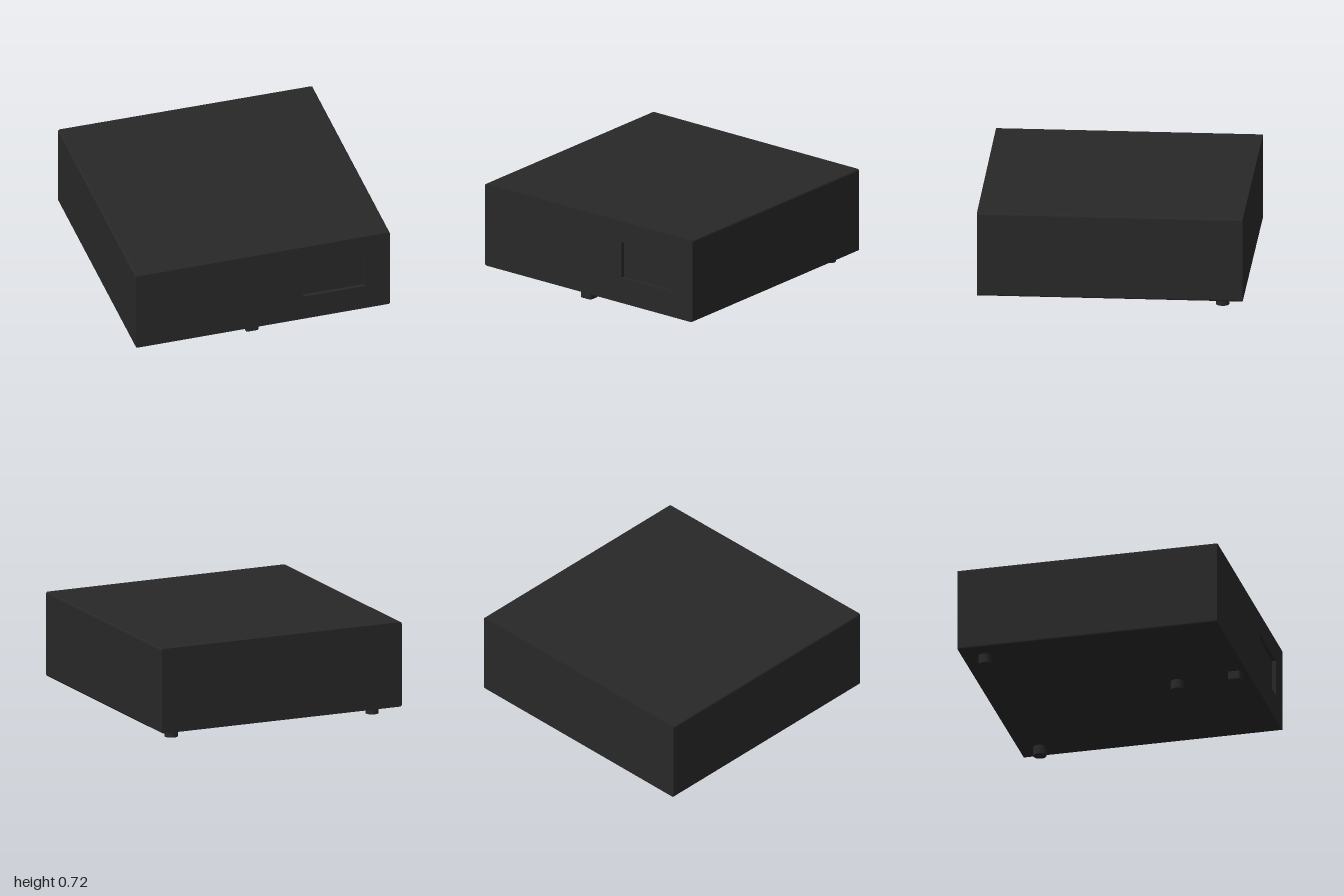
import * as THREE from 'three';
import { RoundedBoxGeometry } from 'three/addons/geometries/RoundedBoxGeometry.js';

const X0 = -0.995, X1 = 0.99, Y0 = 0.07, Y1 = 0.72, FRONT = 1, RECESS = 0.03;

// rectangle with small rounded corners
function outline(x0, y0, x1, y1, r) {
  const s = new THREE.Shape();
  s.moveTo(x0 + r, y0);
  s.lineTo(x1 - r, y0).quadraticCurveTo(x1, y0, x1, y0 + r);
  s.lineTo(x1, y1 - r).quadraticCurveTo(x1, y1, x1 - r, y1);
  s.lineTo(x0 + r, y1).quadraticCurveTo(x0, y1, x0, y1 - r);
  s.lineTo(x0, y0 + r).quadraticCurveTo(x0, y0, x0 + r, y0);
  return s;
}

export function createModel() {
  const group = new THREE.Group();
  const dark = new THREE.MeshStandardMaterial({ color: 0x282828 });
  const add = (name, geometry, x = 0, y = 0, z = 0) => {
    const mesh = new THREE.Mesh(geometry, dark);
    mesh.name = name;
    mesh.position.set(x, y, z);
    group.add(mesh);
  };

  // main case, its back wall very slightly out of square
  const depth = FRONT - RECESS + 1;
  const caseGeo = new THREE.ExtrudeGeometry(outline(X0, Y0, X1, Y1, 0.016),
    { depth, bevelEnabled: false, curveSegments: 4 });
  const p = caseGeo.attributes.position;
  for (let i = 0; i < p.count; i++) {
    if (p.getZ(i) < 0.01) p.setZ(i, 0.005 * (1 + p.getX(i)));
  }
  caseGeo.computeVertexNormals();
  add('case', caseGeo, 0, 0, -1);

  // front plate with a rectangular window; the case shows as its floor
  const plate = outline(X0, Y0, X1, Y1, 0.016);
  plate.holes.push(outline(0.31, 0.27, 0.79, 0.555, 0.002));
  add('frontPlate', new THREE.ExtrudeGeometry(plate,
    { depth: RECESS, bevelEnabled: false, curveSegments: 4 }), 0, 0, FRONT - RECESS);

  // three round feet
  const footGeo = new THREE.CylinderGeometry(0.05, 0.05, 0.075, 24);
  for (const [x, z] of [[-0.83, -0.83], [0.835, -0.83], [-0.035, 0.45]]) {
    add('foot', footGeo, x, 0.0375, z);
  }

  // small block under the front edge
  add('frontBlock', new RoundedBoxGeometry(0.1, 0.075, 0.095, 2, 0.012), -0.07, 0.0375, 0.905);

  return group;
}
